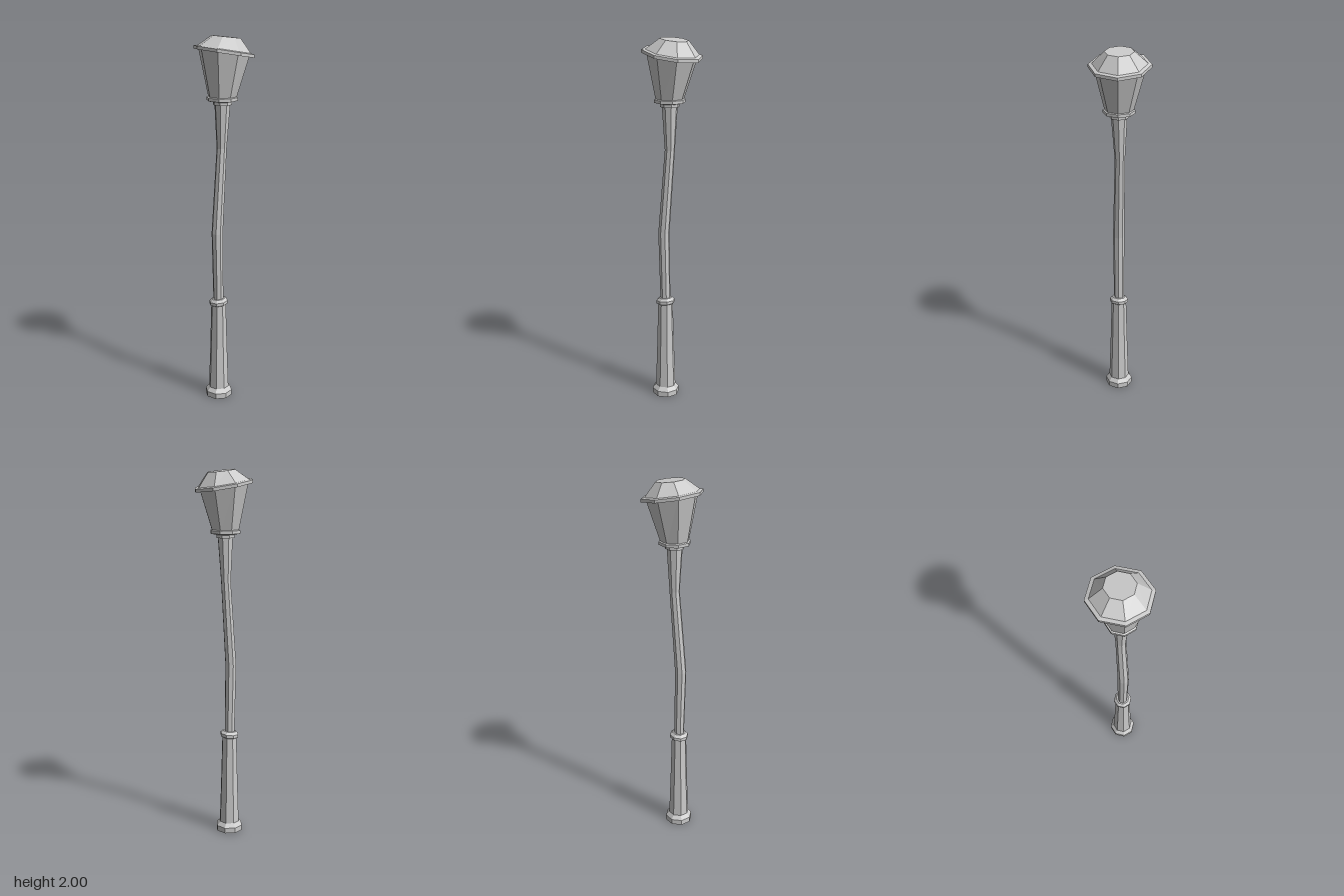
import * as THREE from 'three';

const SIDES = 8;

// Octagonal loft through rings [x, y, z, radius, slopeX, slopeZ], closed at both ends
function loft(name, rings) {
  const pos = [], index = [];
  for (const [x, y, z, r, sx = 0, sz = 0] of rings) {
    for (let i = 0; i < SIDES; i++) {
      const a = (i / SIDES) * Math.PI * 2;
      const dx = r * Math.cos(a), dz = r * Math.sin(a);
      pos.push(x + dx, y + sx * dx + sz * dz, z + dz);
    }
  }
  for (let k = 0; k < rings.length - 1; k++) {
    for (let i = 0; i < SIDES; i++) {
      const j = (i + 1) % SIDES;
      const a = k * SIDES + i, b = k * SIDES + j;
      index.push(a, a + SIDES, b, b, a + SIDES, b + SIDES);
    }
  }
  const top = (rings.length - 1) * SIDES;
  for (let i = 1; i < SIDES - 1; i++) {
    index.push(0, i, i + 1, top, top + i + 1, top + i);
  }
  let geo = new THREE.BufferGeometry();
  geo.setAttribute('position', new THREE.Float32BufferAttribute(pos, 3));
  geo.setIndex(index);
  geo = geo.toNonIndexed();
  geo.computeVertexNormals();
  const mesh = new THREE.Mesh(geo, new THREE.MeshStandardMaterial({ color: 0xcccccc, flatShading: true }));
  mesh.name = name;
  return mesh;
}

export function createModel() {
  const group = new THREE.Group();
  group.name = 'bentStreetLamp';

  const bx = -0.022, bz = 0.034; // foot centre
  const hx = -0.005, hz = 0.012; // lantern seat centre
  const sx = -0.13, sz = 0.11;   // slope of the crooked lid

  // Stepped foot and tapering lower post
  group.add(loft('base', [
    [bx, 0, bz, 0.075],
    [bx, 0.03, bz, 0.075],
    [bx, 0.052, bz, 0.056],
    [bx, 0.3, bz, 0.048],
    [bx, 0.555, bz, 0.041],
  ]));

  // Slightly tilted collar on the lower post
  group.add(loft('baseCollar', [
    [bx, 0.548, bz, 0.042, 0.08, -0.04],
    [bx, 0.553, bz, 0.051, 0.08, -0.04],
    [bx, 0.57, bz, 0.051, 0.08, -0.04],
    [bx, 0.584, bz, 0.037, 0.08, -0.04],
  ]));

  // Bent pole, flaring under the lantern
  group.add(loft('pole', [
    [-0.023, 0.57, 0.034, 0.028],
    [-0.027, 0.96, 0.041, 0.031],
    [-0.009, 1.42, 0.011, 0.027],
    [hx, 1.655, hz, 0.042],
  ]));

  // Two-step seat carrying the lantern
  group.add(loft('lanternSeat', [
    [hx, 1.648, hz, 0.05],
    [hx, 1.664, hz, 0.05],
    [hx, 1.671, hz, 0.083],
    [hx, 1.687, hz, 0.083],
    [hx, 1.692, hz, 0.072],
  ]));

  // Widening lantern body
  group.add(loft('lanternBody', [
    [hx, 1.685, hz, 0.074],
    [0, 1.92, 0, 0.135, sx, sz],
  ]));

  // Overhanging rim and sloped cap
  group.add(loft('lidRim', [
    [0, 1.908, 0, 0.159, sx, sz],
    [0, 1.924, 0, 0.159, sx, sz],
    [0, 1.928, 0, 0.143, sx, sz],
  ]));
  group.add(loft('lidCap', [
    [0, 1.925, 0, 0.143, sx, sz],
    [0.01, 1.99, -0.008, 0.075, -0.09, 0.08],
  ]));

  return group;
}
